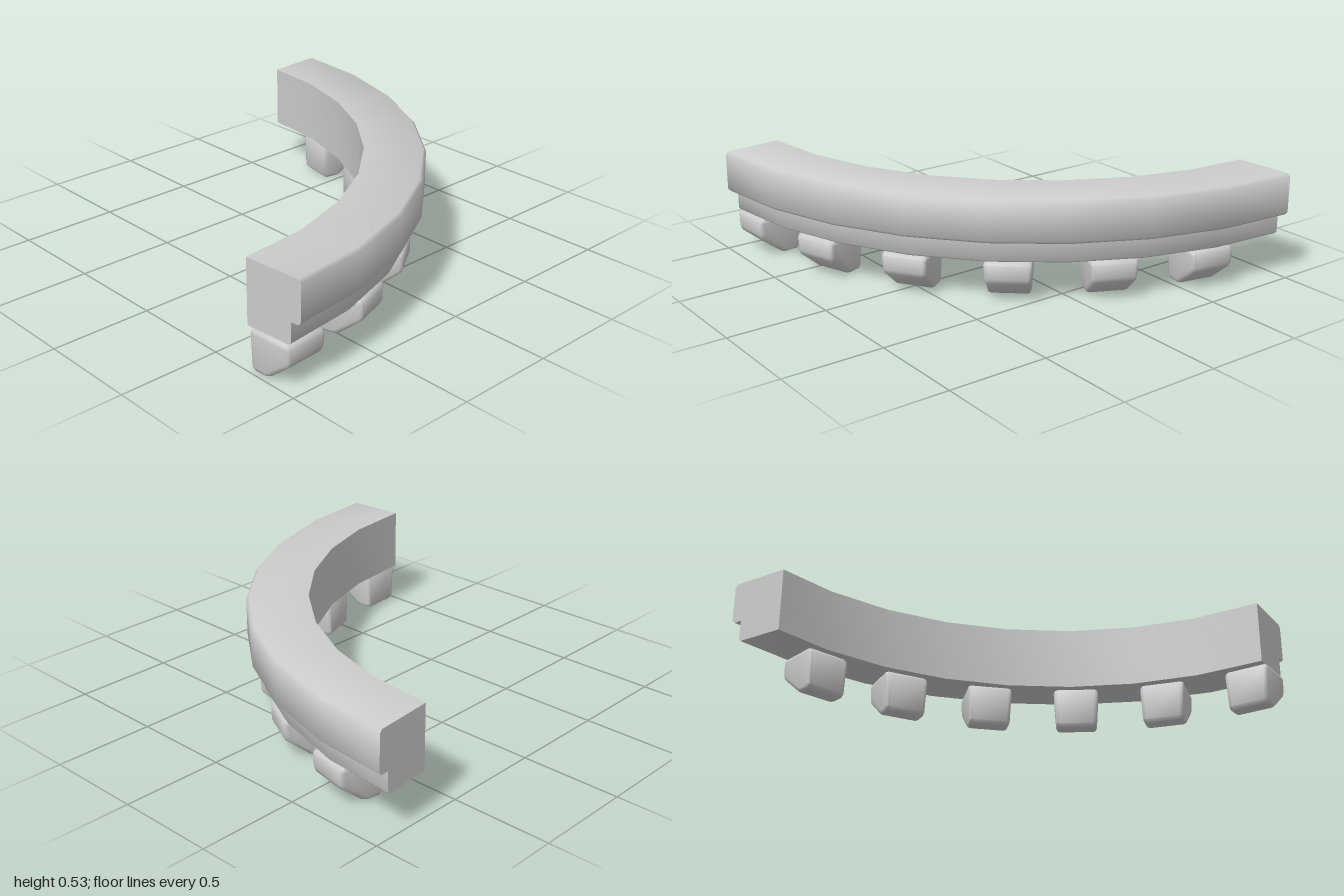
import * as THREE from 'three';
import { toCreasedNormals } from 'three/addons/utils/BufferGeometryUtils.js';

const DEG = Math.PI / 180;
const R_IN = 1.666, R_OUT = 1.97, R_STEP = 1.915;
const SEGMENTS = 8, START = -0.87, STEP = 11.25;

// Sweep a stepped profile of [radius, height] points around a quarter circle
function bandGeometry() {
  const profile = [
    [R_IN, 0.21], [R_STEP - 0.01, 0.21], [R_STEP, 0.22], [R_STEP, 0.32],
    [R_OUT - 0.015, 0.32], [R_OUT, 0.335], [R_OUT, 0.515], [R_OUT - 0.015, 0.53], [R_IN, 0.53],
  ];
  const n = profile.length, positions = [], index = [];
  for (let i = 0; i <= SEGMENTS; i++) {
    const isEnd = i === 0 || i === SEGMENTS;
    for (const [r, y] of profile) {
      // the end faces are cut slightly off the radius
      const skew = isEnd ? 0.7 * (R_OUT - r) / (R_OUT - R_IN) : 0;
      const a = (START + STEP * i + skew) * DEG;
      positions.push(r * Math.cos(a), y, r * Math.sin(a));
    }
  }
  for (let i = 0; i < SEGMENTS; i++) {
    for (let j = 0; j < n; j++) {
      const p = i * n + j, q = i * n + (j + 1) % n;
      index.push(p, q, q + n, p, q + n, p + n);
    }
  }
  // end caps
  const outline = profile.map(([r, y]) => new THREE.Vector2(r, y));
  const last = SEGMENTS * n;
  for (const [a, b, c] of THREE.ShapeUtils.triangulateShape(outline, [])) {
    index.push(a, c, b, last + a, last + b, last + c);
  }
  const geometry = new THREE.BufferGeometry();
  geometry.setAttribute('position', new THREE.Float32BufferAttribute(positions, 3));
  geometry.setIndex(index);
  return toCreasedNormals(geometry, 50 * DEG);
}

// Block with a sloped outer underside, softened edges and a slight taper
function toothGeometry() {
  const bevel = 0.018, width = 0.23;
  const outline = [
    [1.685, 0.018], [1.703, 0], [1.768, 0], [1.788, 0.007], [1.902, 0.1], [1.911, 0.122],
    [1.911, 0.192], [1.895, 0.208], [1.701, 0.208], [1.685, 0.192],
  ].map(([r, y]) => new THREE.Vector2(r, y));
  const geometry = new THREE.ExtrudeGeometry(new THREE.Shape(outline), {
    depth: width - 2 * bevel, bevelEnabled: true, bevelThickness: bevel,
    bevelSize: bevel, bevelOffset: -bevel, bevelSegments: 2,
  });
  geometry.translate(0, 0, bevel - width / 2);
  const p = geometry.attributes.position;
  for (let i = 0; i < p.count; i++) {
    p.setZ(i, p.getZ(i) * (0.9 + 0.1 * Math.min(1, p.getY(i) / 0.18)));
  }
  return toCreasedNormals(geometry, 50 * DEG);
}

export function createModel() {
  const model = new THREE.Group();
  model.name = 'curvedCornice';
  const material = new THREE.MeshStandardMaterial({ color: 0xcccccc });

  // everything is arranged about the centre of the arc
  const arc = new THREE.Group();
  arc.name = 'arc';
  arc.position.set(-0.987, 0, -0.97);
  model.add(arc);

  const band = new THREE.Mesh(bandGeometry(), material);
  band.name = 'steppedBand';
  arc.add(band);

  // row of supporting blocks below the band
  const tooth = toothGeometry();
  for (let i = 0; i < 6; i++) {
    const block = new THREE.Mesh(tooth, material);
    block.name = 'supportBlock' + (i + 1);
    block.rotation.y = -(11.1 + 15.05 * i) * DEG;
    arc.add(block);
  }
  return model;
}
